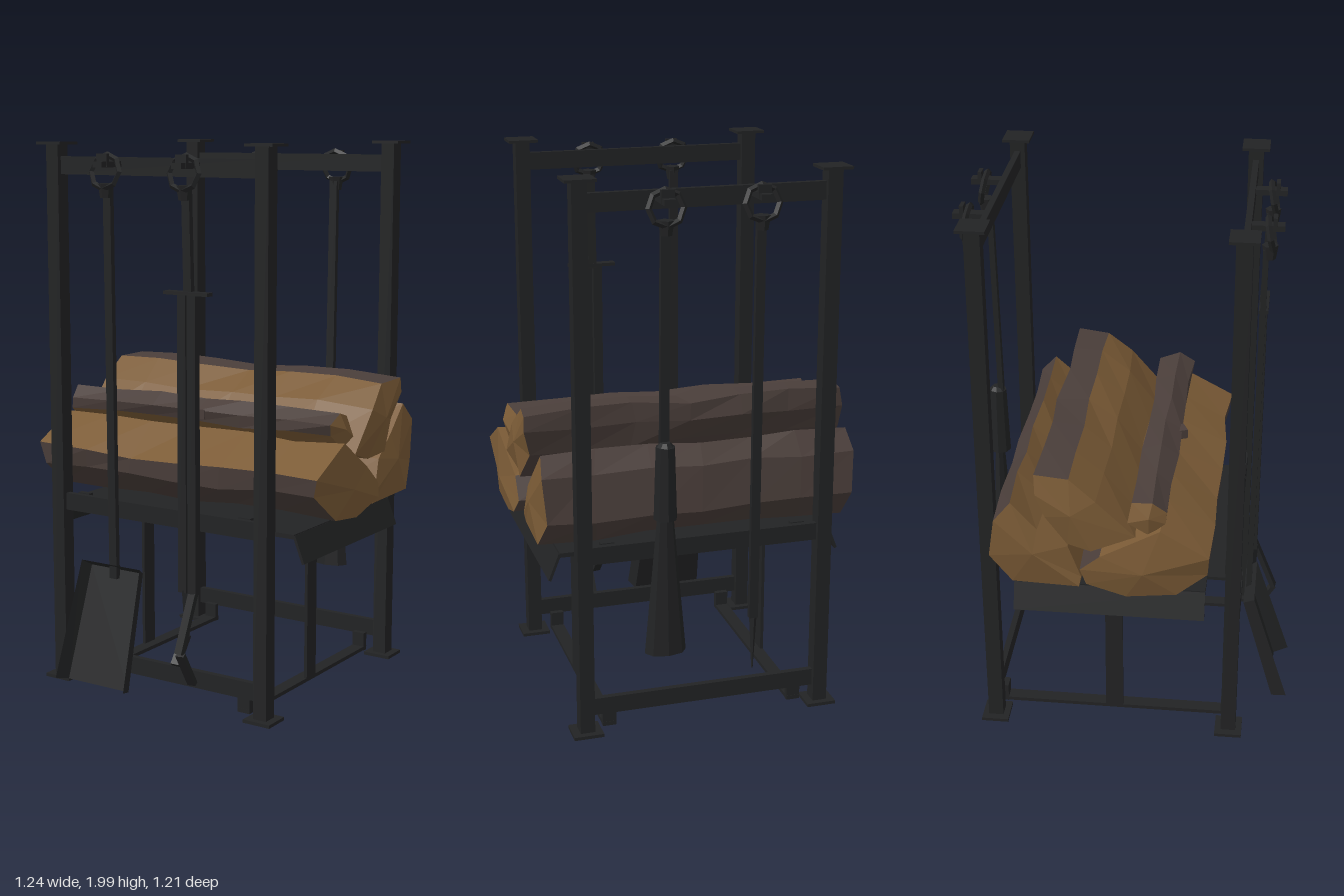
import * as THREE from 'three';

export function createModel() {
  const model = new THREE.Group();
  model.name = 'firewoodRack';
  const material = (name, color, extra = {}) => {
    const m = new THREE.MeshStandardMaterial({ color, flatShading: true, ...extra });
    m.name = name;
    return m;
  };
  const iron = material('blackIron', 0x222324, { side: THREE.DoubleSide });
  const bark = material('bark', 0x4a3e3a);
  const wood = material('splitWood', 0x7b5b36);

  const add = (parent, name, geo, x = 0, y = 0, z = 0) => {
    const mesh = new THREE.Mesh(geo, iron);
    mesh.name = name;
    mesh.position.set(x, y, z);
    parent.add(mesh);
    return mesh;
  };
  const box = (parent, name, w, h, d, x, y, z) =>
    add(parent, name, new THREE.BoxGeometry(w, h, d), x, y, z);
  // Flat bar running between two points
  const bar = (parent, name, a, b, w, d) => {
    const p = new THREE.Vector3(...a), q = new THREE.Vector3(...b);
    const mesh = box(parent, name, w, p.distanceTo(q), d, ...p.clone().add(q).multiplyScalar(0.5).toArray());
    mesh.quaternion.setFromUnitVectors(new THREE.Vector3(0, 1, 0), q.sub(p).normalize());
    return mesh;
  };
  const group = (name, x = 0, y = 0, z = 0) => {
    const g = new THREE.Group();
    g.name = name;
    g.position.set(x, y, z);
    model.add(g);
    return g;
  };

  // Two end frames: posts, plates and three rails
  for (const [name, z] of [['frontFrame', 0.39], ['backFrame', -0.49]]) {
    const g = group(name, 0, 0, z);
    for (const s of [-1, 1]) {
      box(g, 'post', 0.053, 1.99, 0.055, s * 0.44, 1, 0);
      box(g, 'topPlate', 0.108, 0.01, 0.1, s * 0.44, 1.99, 0);
      box(g, 'footPlate', 0.108, 0.012, 0.1, s * 0.44, 0.012, 0);
      // Upturned ends of the side straps
      const inward = -Math.sign(z);
      for (const y of [0.05, 0.685]) box(g, 'strapTab', 0.05, 0.07, 0.022, s * 0.35, y, inward * 0.022);
    }
    for (const y of [0.108, 0.685, 1.912]) box(g, 'rail', 0.84, 0.063, 0.022, 0, y, 0);
  }

  // Tray with sloping side flaps, legs and bottom straps
  const tray = group('tray');
  box(tray, 'trayBed', 0.8, 0.012, 0.84, 0, 0.653, -0.048);
  box(tray, 'trayWing', 1.0, 0.016, 0.685, 0, 0.655, -0.048);
  for (const s of [-1, 1]) {
    bar(tray, 'sideFlap', [s * 0.5, 0.66, -0.048], [s * 0.538, 0.563, -0.048], 0.01, 0.685);
    box(tray, 'leg', 0.012, 0.63, 0.065, s * 0.37, 0.335, -0.048);
    box(tray, 'bottomStrap', 0.05, 0.014, 0.86, s * 0.35, 0.024, -0.05);
  }

  // Hanging part shared by all tools: peg, ring, socket and rod
  const tool = (name, x, dir, rodEnd) => {
    const g = group(name, x, 0, dir > 0 ? 0.39 : -0.49);
    g.userData.dir = dir;
    box(g, 'peg', 0.04, 0.02, 0.125, 0, 1.92, dir * 0.06);
    box(g, 'pegTip', 0.045, 0.045, 0.014, 0, 1.935, dir * 0.09);
    const ring = add(g, 'ring', new THREE.TorusGeometry(0.06, 0.011, 4, 8), 0, 1.895, dir * 0.077);
    ring.rotation.x = -dir * 0.2;
    add(g, 'socket', new THREE.CylinderGeometry(0.028, 0.02, 0.05, 6), 0, 1.83, dir * 0.075);
    bar(g, 'rod', [0, 1.84, dir * 0.062], [0, rodEnd, dir * 0.05], 0.032, 0.02);
    return g;
  };

  // Shovel: tapered pan with raised rim on three sides
  const shovel = tool('shovel', -0.165, 1, 0.44);
  const back = [[-0.115, 0.47, 0.035], [0.115, 0.47, 0.035], [0.135, 0.065, 0.155], [-0.135, 0.065, 0.155]];
  const rim = [[-0.13, 0.495, 0.075], [0.13, 0.495, 0.075], [0.152, 0.08, 0.21], [-0.152, 0.08, 0.21]];
  const panGeo = new THREE.BufferGeometry();
  const quad = (a, b, c, d) => [a, c, b, a, d, c].flat();
  panGeo.setAttribute('position', new THREE.Float32BufferAttribute([
    ...quad(...back),
    ...quad(rim[0], rim[1], back[1], back[0]),
    ...quad(back[1], rim[1], rim[2], back[2]),
    ...quad(rim[0], back[0], back[3], rim[3]),
  ], 3));
  panGeo.computeVertexNormals();
  add(shovel, 'pan', panGeo);

  // Tongs: cross plate, twin arms and bent jaws
  const tongs = tool('tongs', 0.165, 1, 1.48);
  box(tongs, 'crossPlate', 0.18, 0.012, 0.035, 0, 1.492, 0.057);
  for (const s of [-1, 1]) {
    box(tongs, 'arm', 0.034, 1.05, 0.028, s * 0.02, 0.965, 0.055);
    const path = s > 0
      ? [[0.45, 0.055], [0.24, 0.14], [0.11, 0.058]]
      : [[0.45, 0.055], [0.28, 0.045], [0.19, 0.12]];
    for (let i = 0; i < 2; i++) {
      const [y0, z0] = path[i], [y1, z1] = path[i + 1];
      bar(tongs, 'jaw', [s * 0.02, y0, z0], [s * 0.015, y1, z1], 0.032, 0.018);
    }
  }

  // Poker: plain rod with a thin point
  const poker = tool('poker', -0.165, -1, 0.4);
  add(poker, 'pokerTip', new THREE.CylinderGeometry(0.014, 0.003, 0.2, 4), 0, 0.3, -0.05);

  // Brush: ferrule and flared bristles
  const brush = tool('brush', 0.165, -1, 1.05);
  add(brush, 'ferrule', new THREE.CylinderGeometry(0.034, 0.042, 0.26, 8), 0, 0.95, -0.065);
  add(brush, 'ferruleTop', new THREE.CylinderGeometry(0.018, 0.034, 0.02, 8), 0, 1.085, -0.065);
  add(brush, 'bristles', new THREE.CylinderGeometry(0.03, 0.075, 0.5, 8), 0, 0.57, -0.065).scale.z = 0.6;

  // Split logs: a wedge section swept along x with slight irregularity
  let seed = 7;
  const rand = () => {
    seed = (seed * 16807) % 2147483647;
    return (seed / 2147483647) * 2 - 1;
  };
  // section: [z, y] clockwise from +x; barkEdges: edges covered in bark
  const log = (name, half, wobble, section, barkEdges) => {
    const n = section.length, steps = 6;
    const rings = [];
    for (let s = 0; s <= steps; s++) {
      const x = -half + (2 * half * s) / steps;
      rings.push(section.map(([z, y]) => [
        x + rand() * 0.015, y + rand() * wobble, z + rand() * wobble]));
    }
    const faces = { bark: [], wood: [] };
    for (let i = 0; i < n; i++) {
      const j = (i + 1) % n;
      const out = barkEdges.includes(i) ? faces.bark : faces.wood;
      for (let s = 0; s < steps; s++) {
        const a = rings[s][i], b = rings[s + 1][i], c = rings[s + 1][j], d = rings[s][j];
        out.push(a, b, c, a, c, d);
      }
    }
    const cy = section.reduce((t, p) => t + p[1], 0) / n;
    const cz = section.reduce((t, p) => t + p[0], 0) / n;
    for (let i = 0; i < n; i++) {
      const j = (i + 1) % n;
      faces.wood.push([half + 0.025, cy, cz], rings[steps][j], rings[steps][i]);
      faces.wood.push([-half - 0.025, cy, cz], rings[0][i], rings[0][j]);
    }
    const geo = new THREE.BufferGeometry();
    geo.setAttribute('position',
      new THREE.Float32BufferAttribute([...faces.bark, ...faces.wood].flat(), 3));
    geo.addGroup(0, faces.bark.length, 0);
    geo.addGroup(faces.bark.length, faces.wood.length, 1);
    geo.computeVertexNormals();
    const mesh = new THREE.Mesh(geo, [bark, wood]);
    mesh.name = name;
    model.add(mesh);
  };
  log('frontLog', 0.595, 0.01, [[0.315, 0.865], [0.14, 0.965], [-0.075, 0.845], [-0.143, 0.785],
    [-0.117, 0.73], [0.03, 0.68], [0.19, 0.705], [0.305, 0.8]], [2, 3, 4, 5, 6, 7]);
  log('topLog', 0.585, 0.01, [[0.045, 0.92], [-0.075, 1.065], [-0.18, 1.145], [-0.29, 1.15],
    [-0.295, 1.085], [-0.26, 0.99], [-0.19, 0.885], [-0.1, 0.875]], [2, 3, 4, 5]);
  log('backLog', 0.565, 0.008, [[-0.143, 0.73], [-0.19, 0.855], [-0.285, 0.93], [-0.385, 1.03],
    [-0.445, 0.96], [-0.462, 0.8], [-0.39, 0.705], [-0.15, 0.695]], [3, 4, 5]);
  log('smallLog', 0.57, 0.007, [[0.165, 1.03], [0.11, 1.07], [0.04, 1.05], [0.03, 0.98],
    [0.1, 0.945], [0.155, 0.99]], [0, 1, 5]);
  // Twig stub on the small log
  const stub = box(model, 'twigStub', 0.05, 0.035, 0.05, 0.01, 1.02, 0.155);
  stub.material = bark;
  stub.rotation.y = 0.4;

  return model;
}
